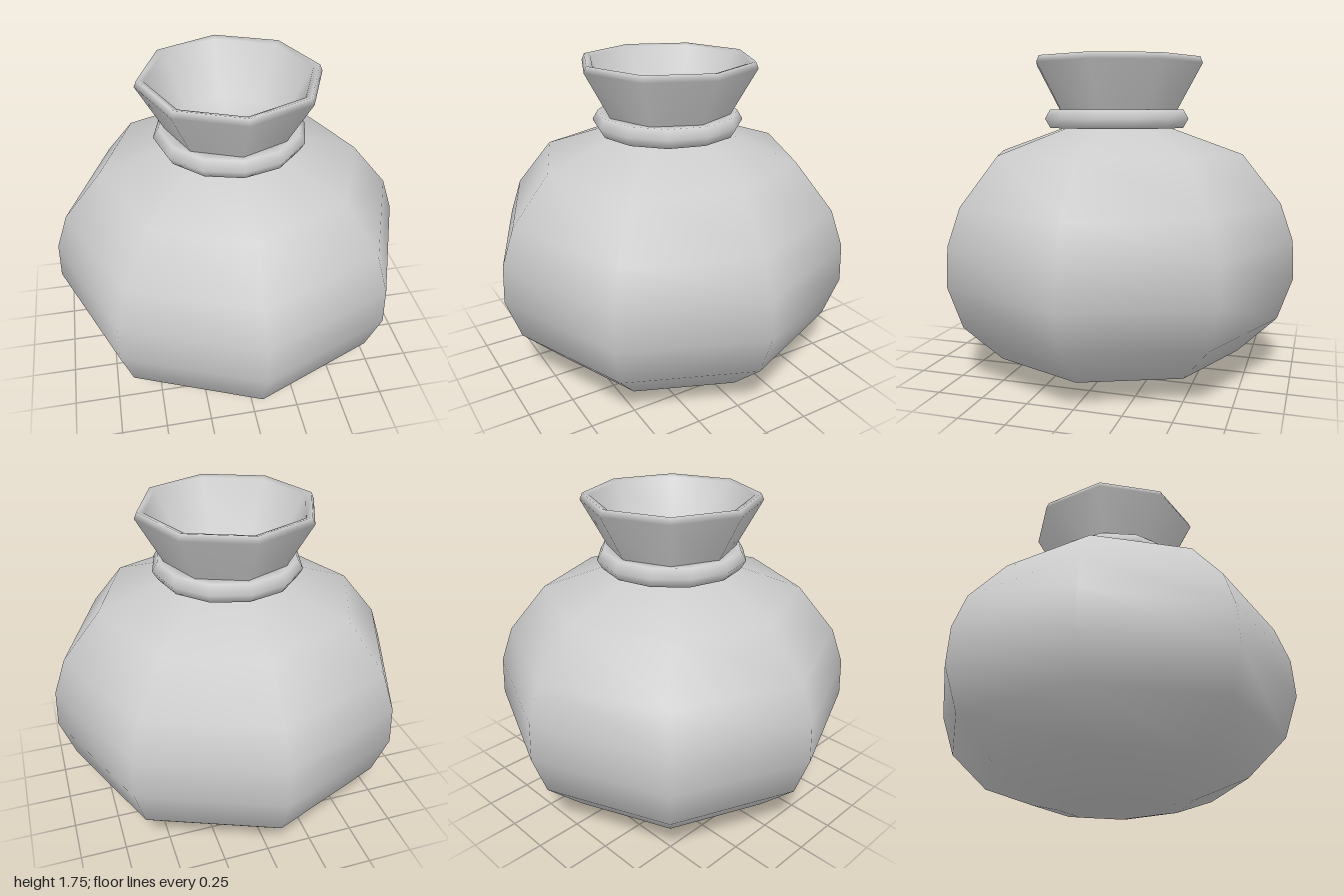
import * as THREE from 'three';

const SIDES = 8;

// Revolves a profile of [radius, height] pairs, listed from the bottom up the outside
function lathe(name, profile, material) {
  const points = profile.map(([r, y]) => new THREE.Vector2(r, y));
  const mesh = new THREE.Mesh(new THREE.LatheGeometry(points, SIDES), material);
  mesh.name = name;
  return mesh;
}

export function createModel() {
  const group = new THREE.Group();
  group.name = 'pouch';
  const material = new THREE.MeshStandardMaterial({ color: 0xcccccc, side: THREE.DoubleSide });

  // Squat, full body with a small flat base
  group.add(lathe('body', [
    [0, 0], [0.31, 0], [0.44, 0.027], [0.71, 0.125], [0.92, 0.33], [1, 0.56],
    [0.99, 0.77], [0.92, 0.97], [0.71, 1.23], [0.31, 1.37],
  ], material));

  // Flared mouth with a rolled lip and a closed hollow inside
  group.add(lathe('mouth', [
    [0.31, 1.36], [0.32, 1.42], [0.485, 1.72], [0.47, 1.755], [0.435, 1.745],
    [0.29, 1.47], [0, 1.42],
  ], material));

  // Cord tied around the neck
  const cord = new THREE.Mesh(new THREE.TorusGeometry(0.352, 0.058, 6, 12), material);
  cord.name = 'neckCord';
  cord.rotation.x = Math.PI / 2;
  cord.position.y = 1.42;
  group.add(cord);

  return group;
}
